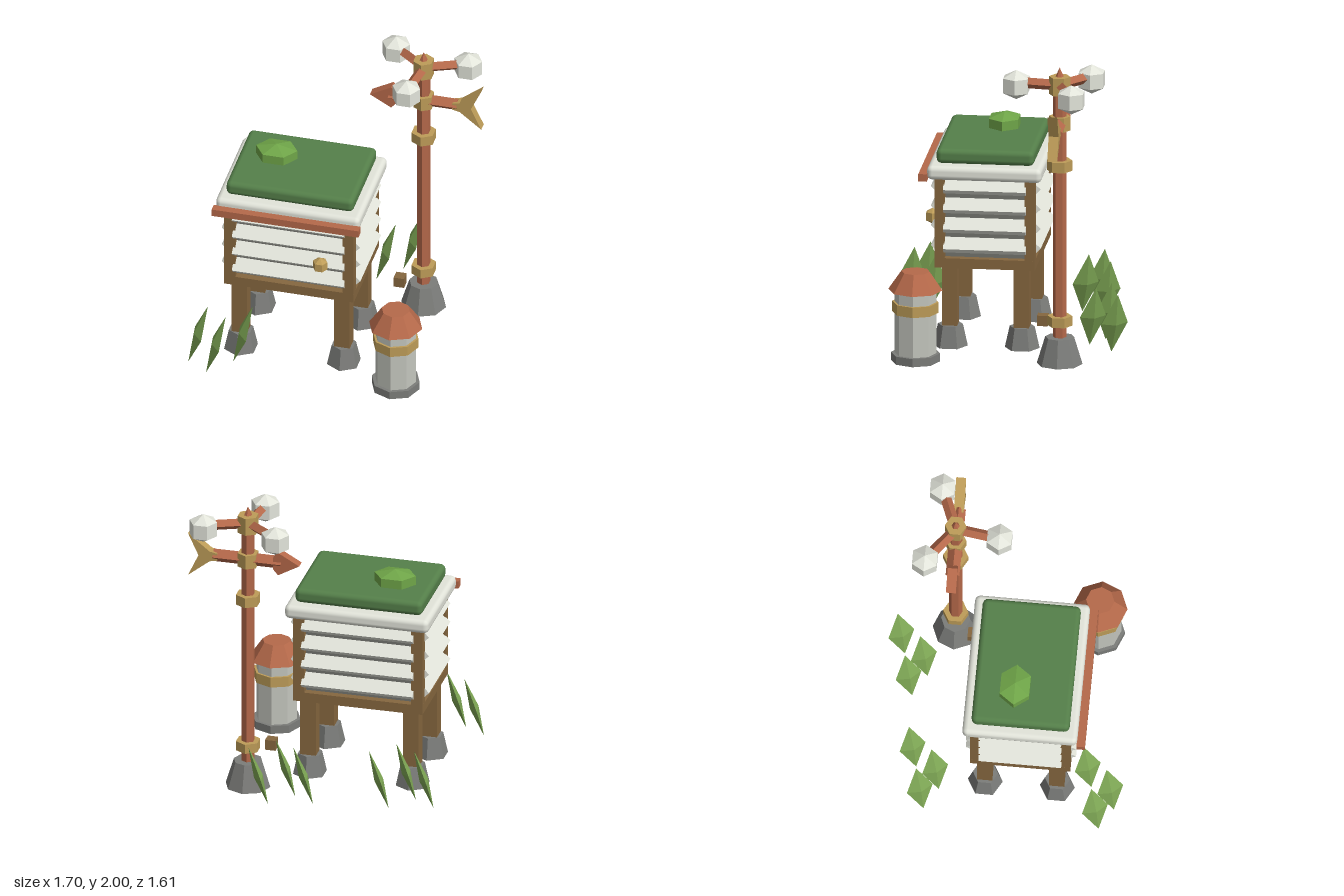
import * as THREE from 'three';
import { RoundedBoxGeometry } from 'three/addons/geometries/RoundedBoxGeometry.js';

const mat = (color, flatShading = true) => new THREE.MeshStandardMaterial({ color, flatShading });
const WOOD = mat(0x86673f), RED = mat(0xb5694a), GOLD = mat(0xbd9c58), WHITE = mat(0xe2e4da);
const STONE = mat(0x7c7d7a), DARK = mat(0x74756f), GREY = mat(0xc4c6be), LEAF = mat(0x7fa855);
const MOSS = mat(0x55804a, false), TRIM = mat(0xe2e4da, false), BUSH = mat(0x6fa548);

function add(parent, name, geo, material, x = 0, y = 0, z = 0) {
  const m = new THREE.Mesh(geo, material);
  m.name = name;
  m.position.set(x, y, z);
  parent.add(m);
  return m;
}
const box = (w, h, d) => new THREE.BoxGeometry(w, h, d);

// Upright prism or frustum standing between heights y0 and y1
function prism(parent, name, rTop, rBot, y0, y1, sides, material, x = 0, z = 0) {
  return add(parent, name, new THREE.CylinderGeometry(rTop, rBot, y1 - y0, sides), material, x, (y0 + y1) / 2, z);
}

// Flat plate cut from an outline, centred on z = 0
function plate(points, depth) {
  const shape = new THREE.Shape(points.map(([x, y]) => new THREE.Vector2(x, y)));
  return new THREE.ExtrudeGeometry(shape, { depth, bevelEnabled: false }).translate(0, 0, -depth / 2);
}

function buildHut() {
  const hut = new THREE.Group();
  hut.name = 'louvredHut';
  hut.position.set(-0.23, 0, 0.13);

  // Legs on stone feet, and corner posts
  for (const sx of [-1, 1]) for (const sz of [-1, 1]) {
    prism(hut, 'foot', 0.082, 0.114, 0, 0.145, 6, STONE, sx * 0.345, sz * 0.235);
    add(hut, 'leg', box(0.105, 0.43, 0.1), WOOD, sx * 0.345, 0.345, sz * 0.235);
    add(hut, 'cornerPost', box(0.075, 0.56, 0.065), WOOD, sx * 0.397, 0.87, sz * 0.295);
  }
  add(hut, 'floorFrame', box(0.87, 0.065, 0.655), WOOD, 0, 0.578, 0);
  add(hut, 'innerWalls', box(0.77, 0.56, 0.56), DARK, 0, 0.87, 0);

  // Tilted slats on all four sides: the low outer edge stands proud of the posts
  const slope = new THREE.Shape([[0, 0], [-0.068, 0.066], [-0.098, 0.036], [-0.03, -0.03]]
    .map(([a, b]) => new THREE.Vector2(a, b)));
  for (let side = 0; side < 4; side++) {
    const wall = new THREE.Group();
    wall.name = 'slatWall';
    wall.rotation.y = side * Math.PI / 2;
    const long = side % 2 === 1;
    const length = long ? 0.75 : 0.54, reach = long ? 0.36 : 0.465;
    const geo = new THREE.ExtrudeGeometry(slope, { depth: length, bevelEnabled: false }).translate(reach, 0, -length / 2);
    for (let i = 0; i < 4; i++) add(wall, 'slat', geo, WHITE, 0, 0.68 + i * 0.133, 0);
    hut.add(wall);
  }

  // Roof
  add(hut, 'roofTrim', new RoundedBoxGeometry(0.967, 0.095, 0.75, 2, 0.035), TRIM, 0, 1.193, 0);
  add(hut, 'mossRoof', new RoundedBoxGeometry(0.855, 0.1, 0.64, 2, 0.035), MOSS, 0, 1.293, 0);
  add(hut, 'roofBush', new THREE.SphereGeometry(1, 6, 3), BUSH, -0.18, 1.37, -0.055).scale.set(0.16, 0.07, 0.128);
  add(hut, 'frontBeam', box(0.985, 0.05, 0.055), RED, 0, 1.165, 0.4);
  add(hut, 'doorKnob', new THREE.SphereGeometry(0.055, 6, 3), GOLD, 0.22, 0.833, 0.365);
  return hut;
}

function buildPole() {
  const pole = new THREE.Group();
  pole.name = 'weatherPole';
  pole.position.set(0.455, 0, -0.393);
  prism(pole, 'poleBase', 0.095, 0.15, 0, 0.18, 8, STONE);
  prism(pole, 'pole', 0.045, 0.045, 0.17, 1.92, 6, RED);
  prism(pole, 'poleTip', 0, 0.045, 1.9, 2, 6, RED);
  for (const [y, r, h] of [[0.29, 0.082, 0.065], [1.34, 0.082, 0.07], [1.625, 0.07, 0.095], [1.88, 0.07, 0.12]])
    prism(pole, 'collar', r, r, y - h / 2, y + h / 2, 6, GOLD);

  // Wind vane
  const vane = new THREE.Group();
  vane.name = 'windVane';
  vane.position.y = 1.625;
  add(vane, 'vaneArm', new THREE.CylinderGeometry(0.045, 0.045, 0.46, 4).rotateZ(Math.PI / 2), RED);
  add(vane, 'vaneHead', plate([[-0.352, 0], [-0.21, -0.08], [-0.175, -0.04], [-0.175, 0.04], [-0.21, 0.08]], 0.065), RED);
  add(vane, 'vaneTail', plate([[0.2, -0.025], [0.25, -0.035], [0.395, -0.15], [0.325, 0], [0.395, 0.15], [0.25, 0.035], [0.2, 0.025]], 0.065), GOLD);
  pole.add(vane);

  // Three arms with faceted cups
  for (let i = 0; i < 3; i++) {
    const a = THREE.MathUtils.degToRad(98 + i * 120), c = Math.cos(a), s = Math.sin(a);
    const arm = add(pole, 'cupArm', new THREE.CylinderGeometry(0.036, 0.036, 0.26, 4).rotateZ(Math.PI / 2), RED, c * 0.14, 1.88, s * 0.14);
    arm.rotation.y = -a;
    add(pole, 'cup', new THREE.SphereGeometry(0.107, 6, 3), WHITE, c * 0.293, 1.863, s * 0.293).scale.y = 0.92;
  }
  add(pole, 'poleBox', box(0.07, 0.07, 0.07), WOOD, -0.125, 0.255, 0.126);
  return pole;
}

function buildGauge() {
  const gauge = new THREE.Group();
  gauge.name = 'rainGauge';
  gauge.position.set(0.51, 0, 0.545);
  prism(gauge, 'gaugeBase', 0.16, 0.16, 0, 0.055, 8, STONE);
  prism(gauge, 'gaugeBody', 0.137, 0.137, 0.05, 0.48, 8, GREY);
  prism(gauge, 'gaugeBand', 0.152, 0.152, 0.33, 0.4, 8, GOLD);
  prism(gauge, 'gaugeRoof', 0.093, 0.178, 0.48, 0.605, 8, RED);
  return gauge;
}

function buildLeaves() {
  const leaves = new THREE.Group();
  leaves.name = 'grassBlades';
  const geo = new THREE.OctahedronGeometry(1, 0);
  for (const [x, z] of [[-0.758, -0.516], [0.014, -0.66], [-0.795, 0.63]])
    for (const [dx, dz] of [[0, 0], [0.142, 0.087], [0.283, -0.073]]) {
      const blade = add(leaves, 'blade', geo, LEAF, x + dx, 0.238, z + dz);
      blade.scale.set(0.03, 0.22, 0.09);
      blade.rotation.set(0, 0.46, -0.3, 'YXZ');
    }
  return leaves;
}

export function createModel() {
  const model = new THREE.Group();
  model.name = 'weatherStation';
  model.add(buildHut(), buildPole(), buildGauge(), buildLeaves());
  return model;
}
